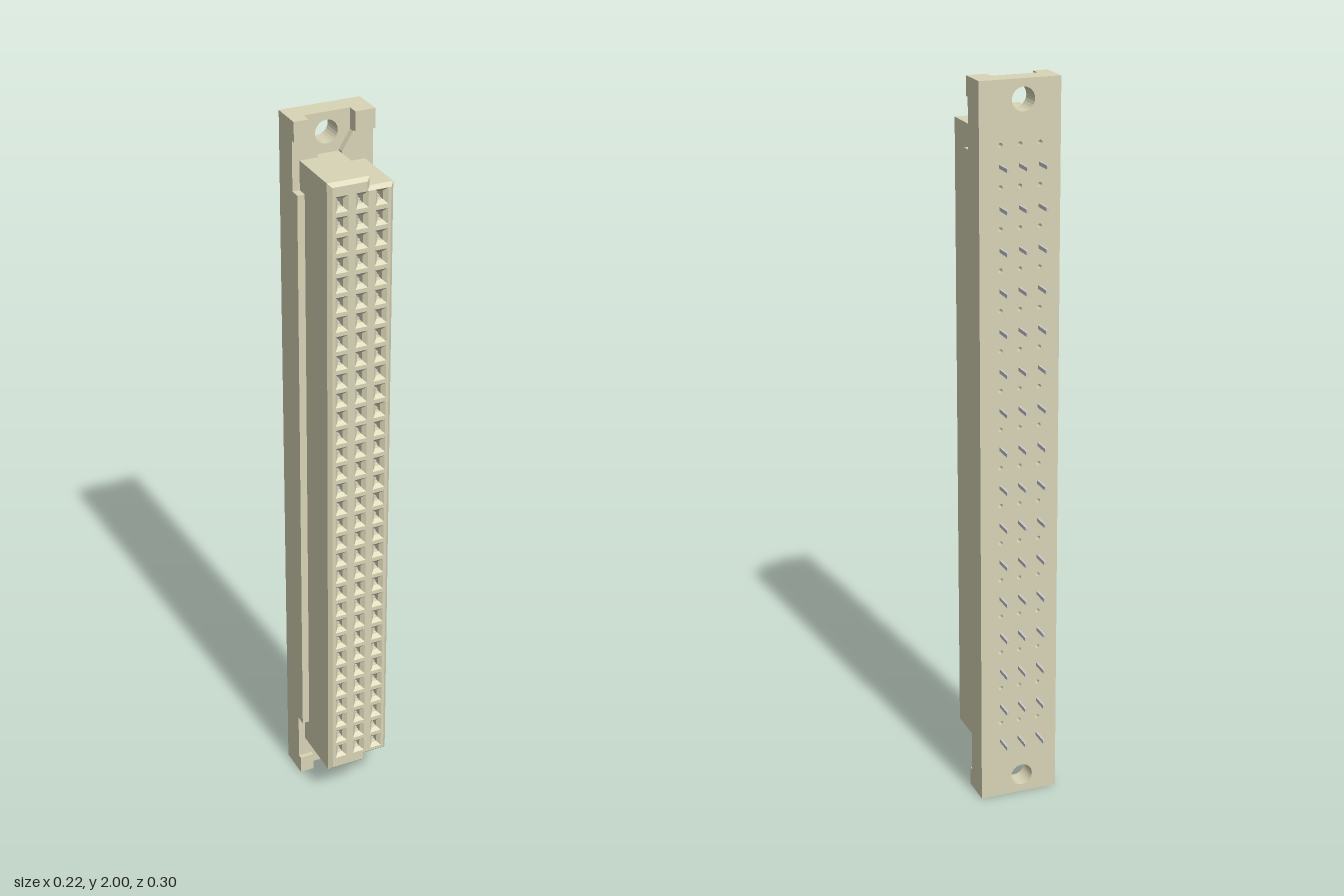
import * as THREE from 'three';

const COLS = [-0.054, 0, 0.053], ROWS = 32, PITCH = 0.0537, Y0 = 0.172;
const PLASTIC = new THREE.MeshStandardMaterial({ color: 0xd8d4b6 });
const METAL = new THREE.MeshStandardMaterial({ color: 0xcccccc });

const points = (list) => list.map(([x, y]) => new THREE.Vector2(x, y));
const rect = (x0, y0, x1, y1) => points([[x0, y0], [x1, y0], [x1, y1], [x0, y1]]);
const circle = (x, y, r) => new THREE.Path().absarc(x, y, r, 0, Math.PI * 2, true);

export function createModel() {
  const group = new THREE.Group();

  function add(name, geometry, material = PLASTIC) {
    const mesh = new THREE.Mesh(geometry, material);
    mesh.name = name;
    group.add(mesh);
    return mesh;
  }
  function slab(name, shape, z0, z1) {
    const geo = new THREE.ExtrudeGeometry(shape, { depth: z1 - z0, bevelEnabled: false, curveSegments: 12 });
    return add(name, geo.translate(0, 0, z0));
  }
  function box(name, x0, x1, y0, y1, z0, z1, material) {
    const geo = new THREE.BoxGeometry(x1 - x0, y1 - y0, z1 - z0);
    return add(name, geo.translate((x0 + x1) / 2, (y0 + y1) / 2, (z0 + z1) / 2), material);
  }

  // Back plate with mounting holes and small holes at every second contact row
  const plate = new THREE.Shape(rect(-0.11, 0, 0.11, 2));
  for (const y of [0.052, 1.948]) plate.holes.push(circle(-0.009, y, 0.031));
  for (let r = 1; r < ROWS; r += 2)
    for (const x of COLS) plate.holes.push(circle(x, Y0 + r * PITCH, 0.006));
  slab('backPlate', plate, -0.097, -0.038);

  // Shelf layer, notched around the mounting holes at both ends
  const notch = [[0.055, 2], [0.055, 1.945], [0.025, 1.897], [0.025, 1.86],
    [-0.04, 1.86], [-0.04, 1.897], [-0.07, 1.945], [-0.07, 2]];
  const lower = notch.map(([x, y]) => [x, 2 - y]).reverse();
  slab('flangeShelf', new THREE.Shape(points([
    [-0.11, 0], ...lower, [0.11, 0], [0.11, 2], ...notch, [-0.11, 2],
  ])), -0.038, -0.02);

  // Corner blocks at the ends, then the long raised step on both sides
  for (const [y0, y1] of [[0, 0.052], [1.948, 2]]) {
    box('cornerBlock', -0.11, -0.07, y0, y1, -0.02, -0.008);
    box('cornerBlock', 0.055, 0.11, y0, y1, -0.02, -0.008);
  }
  box('sideRail', -0.11, 0.11, 0.19, 1.815, -0.02, 0.009);

  // Keyed socket body; the bevel chamfers the rim and flares the socket mouths
  const body = new THREE.Shape(points([
    [-0.09, 0.11], [0.024, 0.11], [0.024, 0.132], [0.088, 0.132],
    [0.088, 1.868], [0.024, 1.868], [0.024, 1.893], [-0.09, 1.893],
  ]));
  for (let r = 0; r < ROWS; r++) {
    const y = Y0 + r * PITCH;
    for (const x of COLS)
      body.holes.push(new THREE.Path(rect(x - 0.007, y - 0.011, x + 0.007, y + 0.011)));
  }
  const bodyGeo = new THREE.ExtrudeGeometry(body, {
    depth: 0.177, bevelEnabled: true, bevelSegments: 1,
    bevelSize: 0.01, bevelOffset: -0.01, bevelThickness: 0.01,
  });
  add('socketBody', bodyGeo.translate(0, 0, -0.04));

  // Contact leaves inside every socket; solder pins on every second row
  for (let r = 0; r < ROWS; r++) {
    const y = Y0 + r * PITCH;
    for (const x of COLS) {
      for (const s of [-1, 1])
        box('contactLeaf', x - 0.005, x + 0.005, y + s * 0.007 - 0.002, y + s * 0.007 + 0.002, 0, 0.125, METAL);
      if (r % 2 === 0)
        box('solderPin', x - 0.003, x + 0.003, y - 0.005, y + 0.005, -0.15, -0.09, METAL);
    }
  }
  return group;
}
